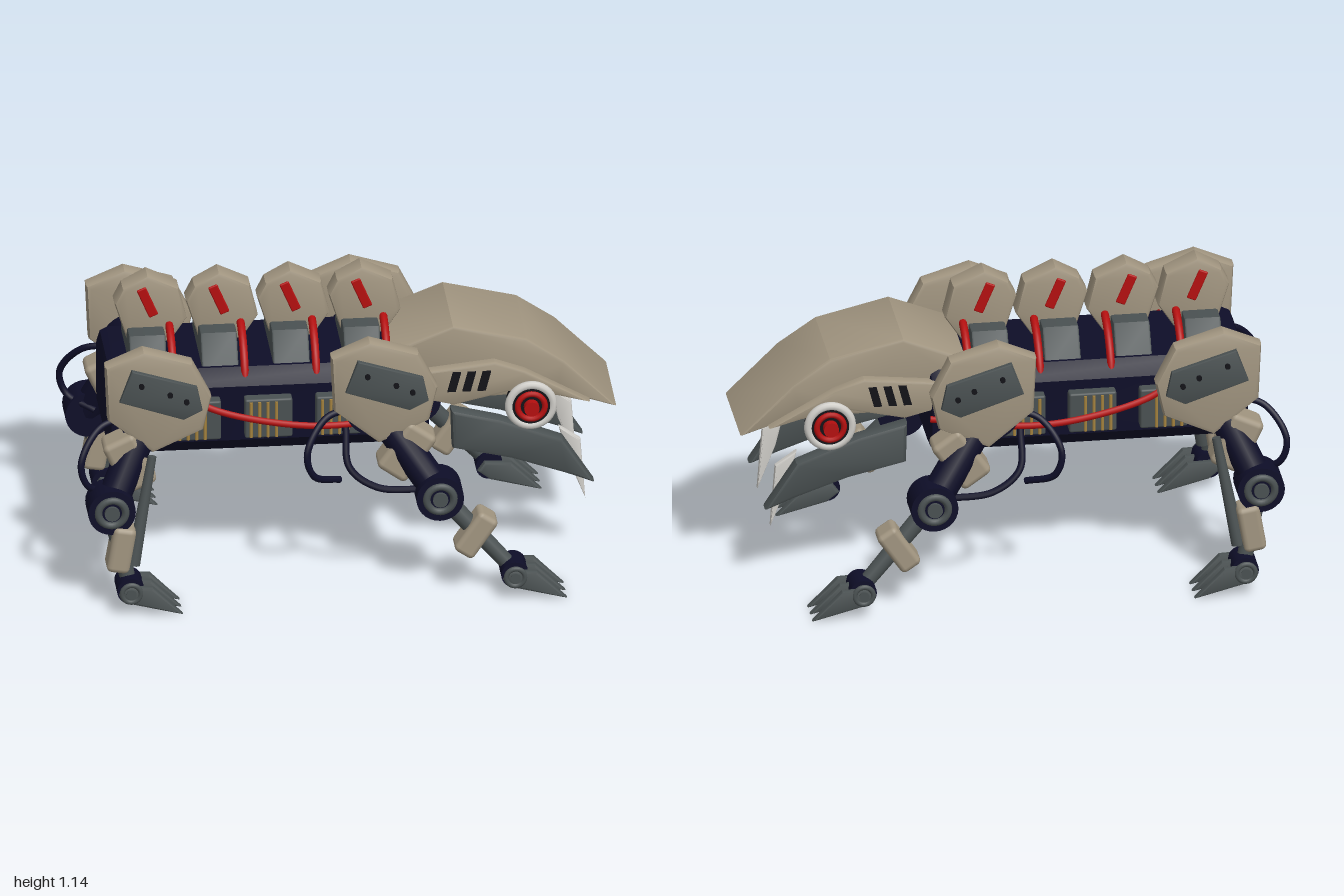
import * as THREE from 'three';
import { toCreasedNormals } from 'three/addons/utils/BufferGeometryUtils.js';
import { RoundedBoxGeometry } from 'three/addons/geometries/RoundedBoxGeometry.js';

const paint = (name, color) => {
  const m = new THREE.MeshStandardMaterial({ color });
  m.name = name;
  return m;
};

export function createModel() {
  const root = new THREE.Group();
  root.name = 'quadrupedMachine';
  const armour = paint('sandArmour', 0xa19580);
  const navy = paint('darkNavy', 0x0e0e28);
  const steel = paint('gunmetal', 0x4a5152);
  const red = paint('red', 0xb40f0f);
  const black = paint('black', 0x121217);
  const ivory = paint('ivory', 0xcfcdc8);
  const brass = paint('brass', 0xa5833f);

  const V = (x, y, z) => new THREE.Vector3(x, y, z);
  const add = (name, geo, mat, x = 0, y = 0, z = 0, rz = 0) => {
    const m = new THREE.Mesh(geo, mat);
    m.name = name;
    m.position.set(x, y, z);
    m.rotation.z = rz;
    root.add(m);
    return m;
  };
  // Side outline extruded to a thickness, centred on z, with softened edges
  const plate = (pts, depth, bevel = 0.012) => {
    const g = new THREE.ExtrudeGeometry(new THREE.Shape(pts.map(p => new THREE.Vector2(...p))), {
      depth: depth - 2 * bevel, steps: 1, bevelEnabled: bevel > 0, bevelSize: bevel,
      bevelThickness: bevel, bevelOffset: -bevel, bevelSegments: 2,
    });
    g.translate(0, 0, bevel - depth / 2);
    return toCreasedNormals(g, 0.5);
  };
  const shift = (pts, dx, dy = 0) => pts.map(([x, y]) => [x + dx, y + dy]);
  const disc = (r, depth) => new THREE.CylinderGeometry(r, r, depth, 28).rotateX(Math.PI / 2);
  const box = (w, h, d, r = 0.015) => new RoundedBoxGeometry(w, h, d, 2, r);
  const tube = (name, pts, r, mat) =>
    add(name, new THREE.TubeGeometry(new THREE.CatmullRomCurve3(pts), 40, r, 8), mat);
  const rod = (name, a, b, r0, r1, mat) => {
    const d = b.clone().sub(a);
    const m = add(name, new THREE.CylinderGeometry(r1, r0, d.length(), 16), mat);
    m.position.copy(a).addScaledVector(d, 0.5);
    m.quaternion.setFromUnitVectors(V(0, 1, 0), d.normalize());
  };

  // Body: chamfered hull running along x
  const section = [[-0.2, 0.505], [0.2, 0.505], [0.25, 0.56], [0.25, 0.775],
    [0.195, 0.83], [-0.195, 0.83], [-0.25, 0.775], [-0.25, 0.56]];
  add('body', plate(section, 1.18, 0.04).rotateY(Math.PI / 2), navy, -0.28);
  add('neck', box(0.45, 0.17, 0.3, 0.03), navy, 0.42, 0.73);

  // Back: four fins, saddle blocks and red hoops
  const fin = [[-0.445, 1.14], [-0.33, 1.085], [-0.3, 0.96], [-0.36, 0.87],
    [-0.515, 0.87], [-0.565, 1.03], [-0.535, 1.09]];
  const saddle = [[-0.2, 0.8], [0.2, 0.8], [0.12, 0.935], [-0.12, 0.935]];
  for (let i = 0; i < 4; i++) {
    const dx = (i - 1) * 0.262;
    add('backFin', plate(shift(fin, dx), 0.094, 0.015), armour);
    add('finStripe', box(0.036, 0.12, 0.106, 0.005), red, -0.445 + dx, 1.035, 0, 0.4);
    add('saddleBlock', plate(saddle, 0.135, 0.008).rotateY(Math.PI / 2), steel, -0.453 + dx);
    add('bodyHoop', new THREE.TorusGeometry(0.225, 0.015, 10, 48).rotateY(Math.PI / 2),
      red, -0.365 + dx, 0.72);
  }

  // Head shell
  add('headShell', plate([[0.17, 0.865], [0.4, 0.955], [0.67, 0.89], [0.81, 0.795], [1.0, 0.605],
    [0.78, 0.675], [0.55, 0.665], [0.3, 0.69], [0.19, 0.78]], 0.395, 0.012), armour);

  const shoulder = [[-0.755, 0.995], [-0.575, 0.94], [-0.505, 0.8], [-0.535, 0.67],
    [-0.72, 0.585], [-0.885, 0.72], [-0.895, 0.935]];
  const inset = [[-0.8, 0.93], [-0.56, 0.855], [-0.54, 0.76], [-0.61, 0.725], [-0.845, 0.805]];
  const claw = [[-0.045, -0.01], [-0.02, 0.025], [0.08, 0.02], [0.19, -0.092], [0, -0.045]];

  for (const s of [1, -1]) {
    // Face: cheek, slots and eye
    add('cheekPlate', plate([[0.26, 0.79], [0.55, 0.82], [0.66, 0.78], [0.9, 0.645], [0.78, 0.675],
      [0.6, 0.7], [0.4, 0.655], [0.3, 0.68]], 0.06, 0.01), armour, 0, 0, s * 0.207);
    for (let i = 0; i < 3; i++)
      add('cheekSlot', plate([[-0.025, -0.038], [0.005, -0.038], [0.025, 0.038], [-0.005, 0.038]],
        0.016, 0), black, 0.4 + i * 0.055, 0.752, s * 0.238);
    add('eyeHousing', disc(0.085, 0.07), black, 0.68, 0.655, s * 0.236);
    add('eyeRim', new THREE.TorusGeometry(0.08, 0.016, 10, 36), ivory, 0.68, 0.655, s * 0.26);
    add('eyeRing', new THREE.TorusGeometry(0.05, 0.011, 10, 32), red, 0.68, 0.655, s * 0.272);
    add('eyePupil', disc(0.028, 0.04), red, 0.68, 0.655, s * 0.28);

    // Lower jaw rail and fang
    add('jawRail', plate([[0.39, 0.635], [0.57, 0.59], [0.8, 0.5], [0.915, 0.32], [0.81, 0.36],
      [0.61, 0.43], [0.395, 0.48]], 0.068, 0.015), steel, 0, 0, s * 0.206);
    add('fang', plate([[0.79, 0.525], [0.87, 0.47], [0.888, 0.23], [0.82, 0.4]], 0.028, 0.008),
      ivory, 0, 0, s * 0.165);

    // Flank vents with brass pipes
    for (let i = 0; i < 3; i++) {
      const x = -0.548 + i * 0.262;
      add('ventPanel', box(0.175, 0.155, 0.05, 0.008), steel, x, 0.662, s * 0.27);
      for (let j = 0; j < 4; j++)
        add('ventPipe', new THREE.CylinderGeometry(0.006, 0.006, 0.14, 8), brass,
          x - 0.065 + j * 0.031, 0.66, s * 0.297);
    }
    tube('flankCable', [V(-0.62, 0.79, s * 0.27), V(-0.5, 0.715, s * 0.3), V(-0.22, 0.655, s * 0.335),
      V(0, 0.642, s * 0.33), V(0.31, 0.66, s * 0.265)], 0.013, red);

    // Legs: the same parts hung from each hip
    for (const front of [true, false]) {
      const dx = front ? 0.83 : 0;
      const hip = V(-0.73 + dx, 0.71, s * 0.3);
      const knee = V(front ? 0.325 : -0.88, 0.395, s * 0.42);
      const ankle = V(front ? 0.595 : -0.815, 0.095, s * 0.467);
      add('hipAxle', disc(0.11, 0.2), navy, hip.x, hip.y, s * 0.25);
      add('shoulderPlate', plate(shift(shoulder, dx), 0.078, 0.018), armour, 0, 0, s * 0.353);
      add('shoulderInset', plate(shift(inset, dx), 0.022, 0.005), steel, 0, 0, s * 0.401);
      for (const [x, y] of [[-0.765, 0.87], [-0.66, 0.83], [-0.6, 0.8]])
        add('shoulderBolt', disc(0.01, 0.016), black, x + dx, y, s * 0.415);

      rod('thigh', hip, knee, 0.06, 0.06, navy);
      add('thighArmour', box(0.13, 0.215, 0.12, 0.022), armour, (hip.x + knee.x) / 2, 0.545, s * 0.34,
        front ? -0.62 : 0.44);
      add('kneeJoint', disc(0.087, 0.12), navy, knee.x, knee.y, s * 0.422);
      add('kneeRing', new THREE.TorusGeometry(0.05, 0.014, 8, 28), steel, knee.x, knee.y, s * 0.482);
      add('kneeCap', disc(0.028, 0.03), steel, knee.x, knee.y, s * 0.48);

      rod('shin', knee, ankle, 0.036, 0.028, steel);
      add('shinArmour', box(0.085, 0.18, 0.105, 0.02), armour, front ? 0.457 : -0.845, 0.242, s * 0.443,
        front ? -0.6 : -0.17);
      if (!front) rod('shinPiston', V(-0.725, 0.58, s * 0.4), V(-0.8, 0.17, s * 0.45), 0.016, 0.026, steel);

      add('ankleJoint', disc(0.05, 0.11), navy, ankle.x, ankle.y, ankle.z);
      add('ankleRing', new THREE.TorusGeometry(0.034, 0.01, 8, 24), steel, ankle.x, ankle.y, s * 0.542);
      add('ankleCap', disc(0.018, 0.03), steel, ankle.x, ankle.y, s * 0.536);
      for (const z of [0.405, 0.467, 0.53])
        add('claw', plate(claw, 0.031, 0.01), steel, ankle.x, ankle.y, s * z);

      // Hose bowing out behind the leg
      tube('legHose', [V(-0.8 + dx, 0.7, s * 0.31), V(-0.91 + dx, 0.675, s * 0.34),
        V(-0.985 + dx, 0.56, s * 0.4), V(-0.96 + dx, 0.47, s * 0.4),
        V(-0.86 + dx, 0.425, s * 0.34)], 0.013, navy);
      if (front) tube('kneeHose', [V(-0.01, 0.64, s * 0.35), V(0, 0.5, s * 0.4),
        V(0.1, 0.425, s * 0.42), V(0.28, 0.405, s * 0.41)], 0.013, navy);
    }
  }
  return root;
}
